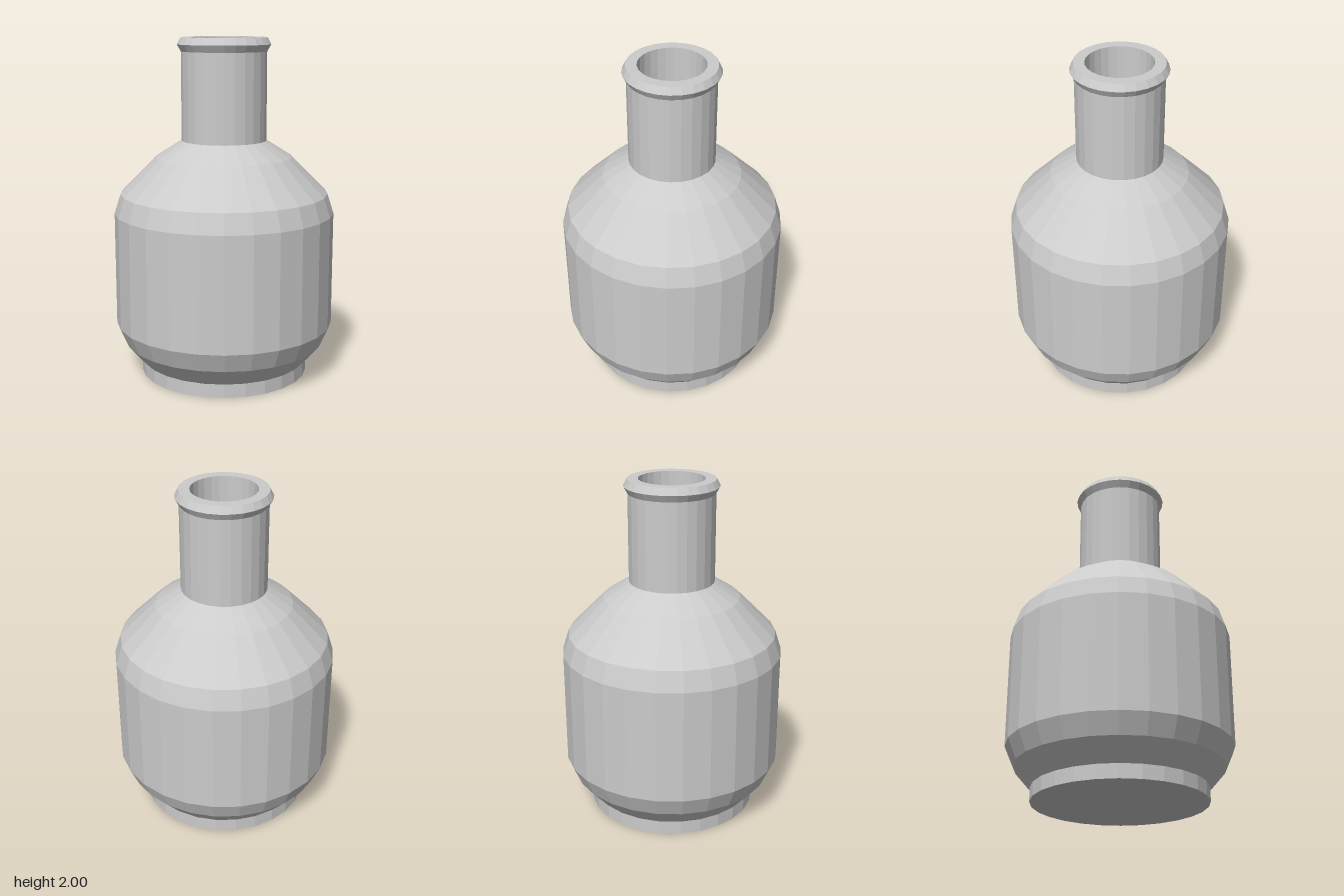
import * as THREE from 'three';

const SIDES = 26;
const material = new THREE.MeshStandardMaterial({ color: 0xcccccc, flatShading: true });

// Revolve a [radius, height] profile; points run up the outside and down the inside.
function turned(name, profile) {
  const points = profile.map(([r, y]) => new THREE.Vector2(r, y));
  const mesh = new THREE.Mesh(new THREE.LatheGeometry(points, SIDES), material);
  mesh.name = name;
  return mesh;
}

export function createModel() {
  const bottle = new THREE.Group();
  bottle.name = 'bottle';

  bottle.add(
    // Closed foot ring
    turned('foot', [[0, 0], [0.5, 0], [0.5, 0.08]]),
    // Chamfered belly and sloping shoulder
    turned('body', [
      [0.5, 0.08], [0.6, 0.195], [0.65, 0.31], [0.65, 0.98],
      [0.613, 1.095], [0.4, 1.31], [0.25, 1.405],
    ]),
    // Straight neck
    turned('neck', [[0.25, 1.405], [0.25, 1.92]]),
    // Flared lip with a flat top
    turned('lip', [[0.25, 1.92], [0.273, 1.96], [0.252, 2], [0.19, 2]]),
    // Hollow inside, from the mouth down to the floor
    turned('interior', [
      [0.19, 2], [0.19, 1.37], [0.36, 1.26], [0.555, 1.06], [0.59, 0.96],
      [0.59, 0.33], [0.545, 0.23], [0.44, 0.08], [0, 0.08],
    ]),
  );
  return bottle;
}
